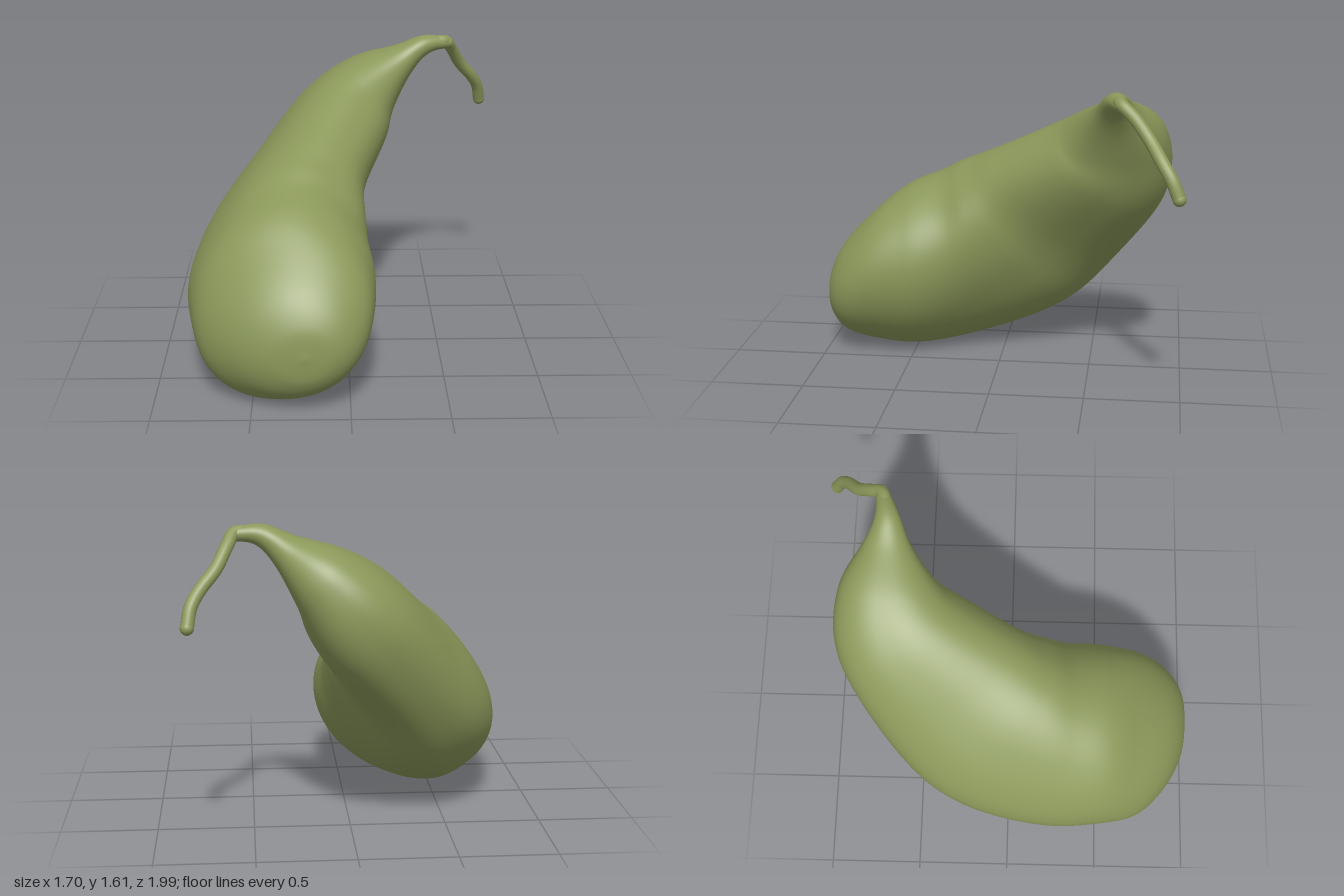
import * as THREE from 'three';
import { mergeVertices } from 'three/addons/utils/BufferGeometryUtils.js';

// Body sections from blossom end to neck: centre x, y, z,
// half-size across the roll, half-size along it, roll angle,
// roundness (1 = ellipse, less = fuller corners), swell of the lower outer side
const SECTIONS = [
  [-0.23, 0.32, 0.998, 0, 0, 1.3, 1, 1],
  [-0.24, 0.325, 0.975, 0.15, 0.18, 1.3, 1, 1],
  [-0.27, 0.35, 0.885, 0.28, 0.33, 1.25, 1, 1.02],
  [-0.315, 0.4, 0.72, 0.38, 0.455, 1.0, 1, 1.04],
  [-0.338, 0.465, 0.5, 0.445, 0.495, 0.8, 0.97, 1.06],
  [-0.37, 0.545, 0.22, 0.412, 0.515, 0.67, 0.87, 1.04],
  [-0.335, 0.68, -0.08, 0.36, 0.525, 0.64, 0.82, 1],
  [-0.235, 0.86, -0.31, 0.3, 0.49, 0.66, 0.85, 0.94],
  [-0.02, 1.14, -0.605, 0.262, 0.385, 0.72, 0.84, 0.86],
  [0.15, 1.335, -0.65, 0.185, 0.275, 0.75, 0.87, 0.9],
  [0.33, 1.475, -0.64, 0.09, 0.125, 0.89, 0.95, 1],
  [0.46, 1.557, -0.64, 0.054, 0.062, 1.2, 1, 1],
  [0.6, 1.563, -0.672, 0.03, 0.03, 1.5, 1, 1],
];

const smooth = points => new THREE.CatmullRomCurve3(points, false, 'catmullrom', 0.5);
const columns = first => smooth(SECTIONS.map(s => new THREE.Vector3(...s.slice(first, first + 3))));
const power = (v, e) => Math.sign(v) * Math.abs(v) ** e;

// Rounded rings swept along a bent spine
function bodyGeometry(rings = 144, sides = 72) {
  const centres = SECTIONS.map(s => new THREE.Vector3(s[0], s[1], s[2]));
  const last = centres.length - 1;
  // sections stay upright in the rounded end, then turn square to the spine
  const facings = centres.map((c, i) => {
    const along = centres[Math.min(i + 1, last)].clone().sub(centres[Math.max(i - 1, 0)]).normalize();
    return new THREE.Vector3(0, 0, -1).lerp(along, THREE.MathUtils.clamp((i - 3) / 3, 0, 1)).normalize();
  });
  const spine = smooth(centres), facing = smooth(facings);
  const sizes = columns(3), shapes = columns(5);

  const pos = [], index = [];
  for (let i = 0; i <= rings; i++) {
    const u = i / rings;
    const c = spine.getPoint(u), size = sizes.getPoint(u);
    const { x: roll, y: round, z: swell } = shapes.getPoint(u);
    const t = facing.getPoint(u).normalize();
    const n = new THREE.Vector3(-Math.cos(roll), Math.sin(roll), 0);
    n.addScaledVector(t, -n.dot(t)).normalize();
    const m = new THREE.Vector3().crossVectors(t, n);
    for (let j = 0; j < sides; j++) {
      const a = (j / sides) * Math.PI * 2;
      const up = Math.sin(a);
      const p = c.clone()
        .addScaledVector(n, size.x * power(Math.cos(a), round))
        .addScaledVector(m, size.y * power(up, round) * (up < 0 ? swell : 1));
      pos.push(p.x, Math.max(p.y, 0), p.z);
      if (i < rings) {
        const k = (j + 1) % sides, r = i * sides, s = r + sides;
        index.push(r + j, r + k, s + j, r + k, s + k, s + j);
      }
    }
  }
  const g = new THREE.BufferGeometry();
  g.setAttribute('position', new THREE.Float32BufferAttribute(pos, 3));
  g.setIndex(index);
  const merged = mergeVertices(g, 1e-5);
  merged.computeVertexNormals();
  return merged;
}

export function createModel() {
  const group = new THREE.Group();
  const green = new THREE.MeshStandardMaterial({ color: 0x8b985a });
  green.name = 'olive green';

  const add = (name, geometry) => {
    const mesh = new THREE.Mesh(geometry, green);
    mesh.name = name;
    group.add(mesh);
    return mesh;
  };

  add('gourdBody', bodyGeometry());

  // Thin drooping stalk with a rounded end
  const stalk = new THREE.CatmullRomCurve3([
    [0.5, 1.57, -0.645], [0.575, 1.57, -0.665], [0.617, 1.51, -0.735], [0.67, 1.415, -0.81],
    [0.75, 1.32, -0.875], [0.79, 1.25, -0.92], [0.807, 1.16, -0.958],
  ].map(p => new THREE.Vector3(...p)));
  add('stalk', new THREE.TubeGeometry(stalk, 60, 0.033, 16));
  add('stalkTip', new THREE.SphereGeometry(0.034, 16, 12)).position.copy(stalk.getPoint(1));

  return group;
}
